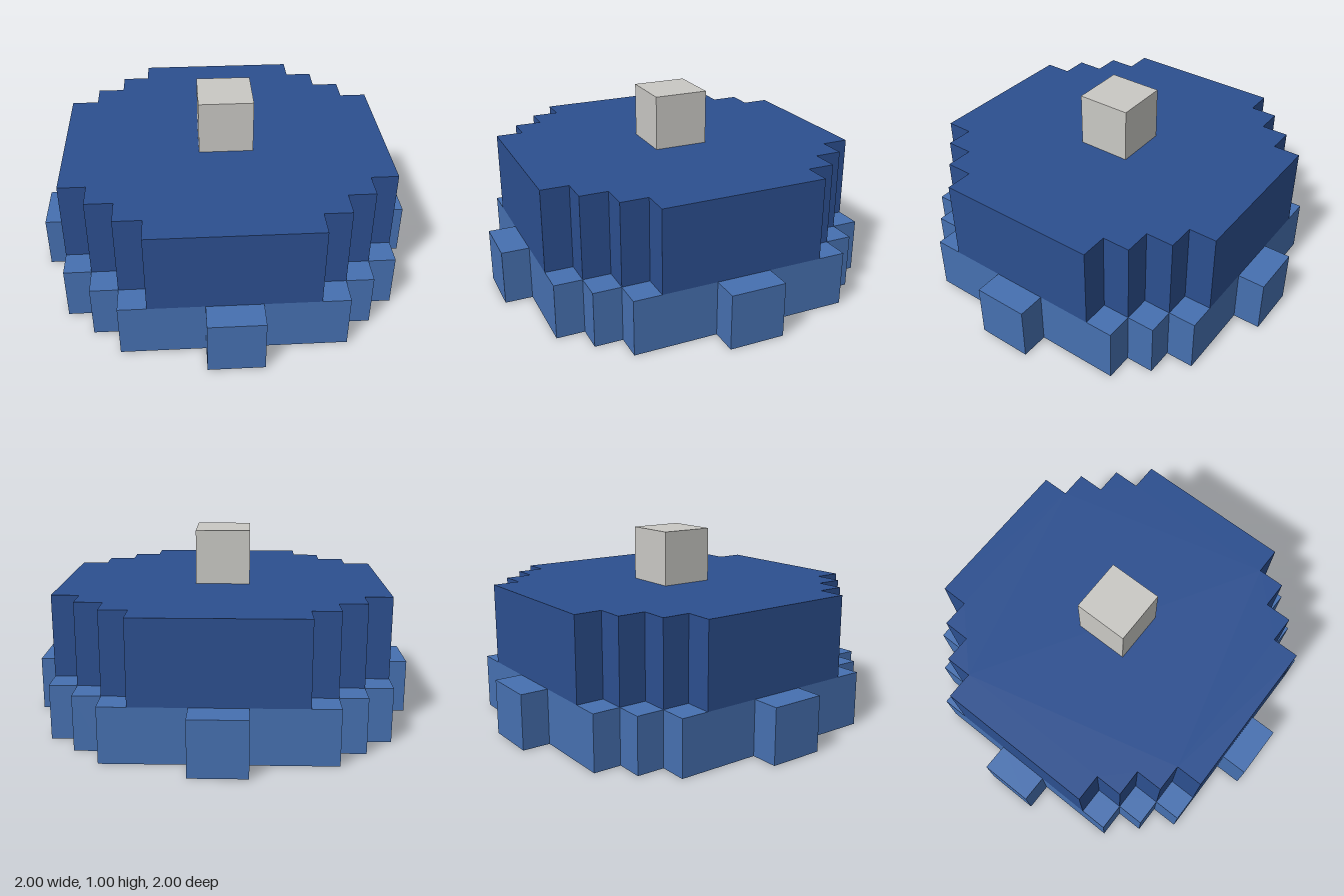
import * as THREE from 'three';

const U = 1 / 7; // one grid step

// Extrudes a stepped outline: the corners of one quadrant are turned four times
function steppedSlab(name, corners, bottom, top, material) {
  const points = [];
  for (let turn = 0; turn < 4; turn++) {
    for (const corner of corners) {
      let [x, y] = corner;
      for (let i = 0; i < turn; i++) [x, y] = [-y, x];
      points.push(new THREE.Vector2(x * U, y * U));
    }
  }
  const geometry = new THREE.ExtrudeGeometry(new THREE.Shape(points), {
    depth: (top - bottom) * U,
    bevelEnabled: false,
  });
  geometry.rotateX(-Math.PI / 2);
  geometry.translate(0, bottom * U, 0);
  const mesh = new THREE.Mesh(geometry, material);
  mesh.name = name;
  return mesh;
}

export function createModel() {
  const lightBlue = new THREE.MeshStandardMaterial({ color: 0x4670b0 });
  lightBlue.name = 'light blue';
  const darkBlue = new THREE.MeshStandardMaterial({ color: 0x2c4f8f });
  darkBlue.name = 'dark blue';
  const paleGrey = new THREE.MeshStandardMaterial({ color: 0xc9c8c4 });
  paleGrey.name = 'pale grey';

  const model = new THREE.Group();
  model.name = 'steppedDisc';

  // Wide base with a tab on each side
  model.add(steppedSlab('base',
    [[7, 1], [6, 1], [6, 4], [5, 4], [5, 5], [4, 5], [4, 6], [1, 6], [1, 7]], 0, 2, lightBlue));

  // Taller body on the base
  model.add(steppedSlab('body',
    [[6, 3], [5, 3], [5, 4], [4, 4], [4, 5], [3, 5], [3, 6]], 2, 5, darkBlue));

  // Cube knob on top
  const knob = new THREE.Mesh(new THREE.BoxGeometry(2 * U, 2 * U, 2 * U), paleGrey);
  knob.name = 'knob';
  knob.position.y = 6 * U;
  model.add(knob);

  return model;
}
